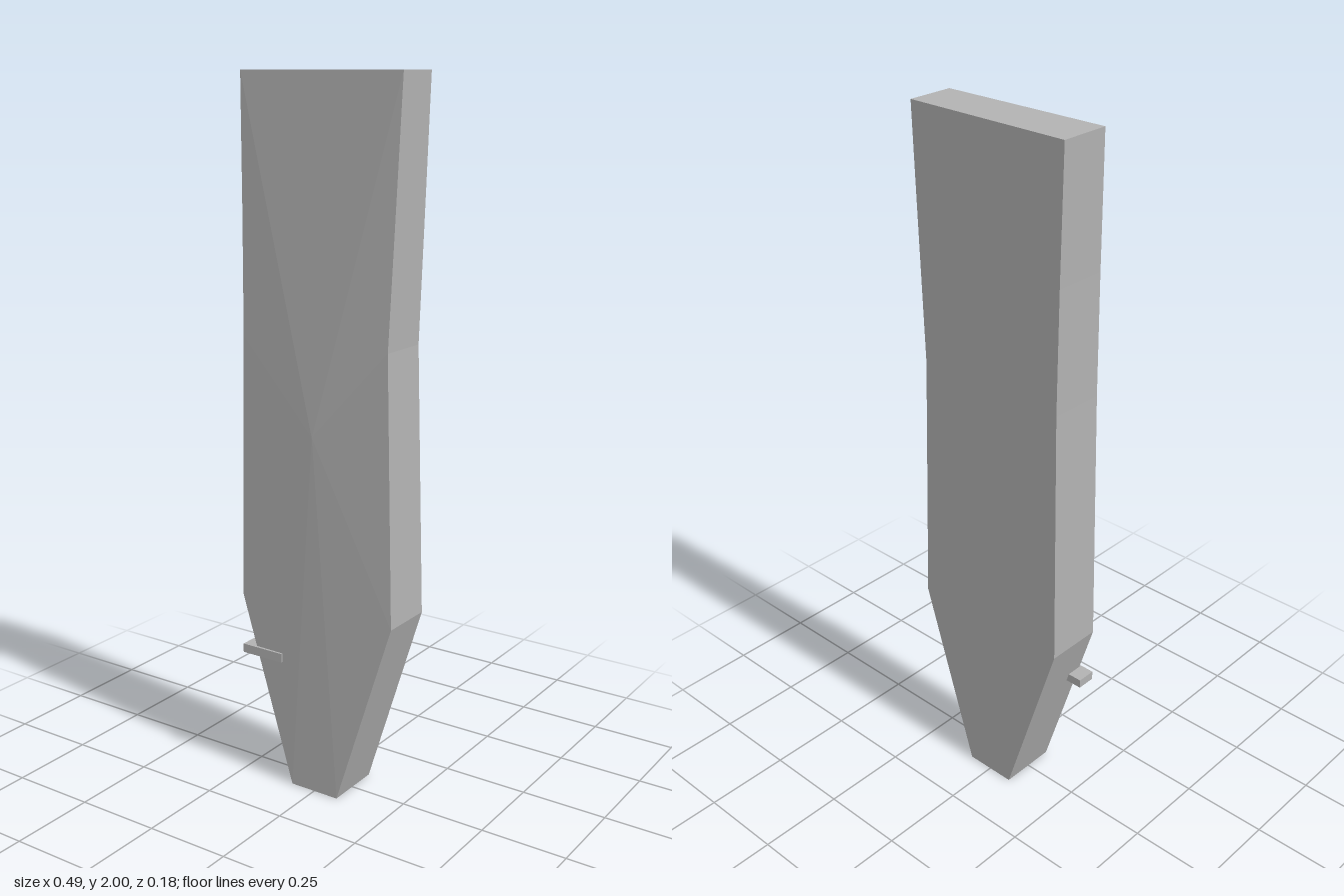
import * as THREE from 'three';

// Outline, anticlockwise from the front: x, y, depth of the front edge
const OUTLINE = [
  [-0.077, 0, 0.082], [0.077, 0, 0.082],
  [0.247, 0.55, 0.074], [0.222, 1.3, 0.065], [0.234, 1.63, 0.056], [0.247, 2, 0.046],
  [-0.247, 2, 0.055], [-0.241, 1.64, 0.063], [-0.238, 1.3, 0.07], [-0.247, 0.55, 0.079],
];
const BACK = -0.088;
const PEAK = [0, 1.05, 0.088];

// Closed slab: faceted front fanned from a peak, flat back, straight sides
function slabGeometry() {
  const pos = [];
  const tri = (...corners) => corners.forEach((c) => pos.push(...c));
  const backPeak = [PEAK[0], PEAK[1], BACK];
  OUTLINE.forEach((a, i) => {
    const b = OUTLINE[(i + 1) % OUTLINE.length];
    const a2 = [a[0], a[1], BACK];
    const b2 = [b[0], b[1], BACK];
    tri(PEAK, a, b);
    tri(backPeak, b2, a2);
    tri(a, a2, b2);
    tri(a, b2, b);
  });
  const geometry = new THREE.BufferGeometry();
  geometry.setAttribute('position', new THREE.Float32BufferAttribute(pos, 3));
  geometry.computeVertexNormals();
  return geometry;
}

export function createModel() {
  const group = new THREE.Group();
  group.name = 'taperedSlab';
  const grey = new THREE.MeshStandardMaterial({ color: 0xb2b2b2, flatShading: true });
  grey.name = 'plain grey';

  const slab = new THREE.Mesh(slabGeometry(), grey);
  slab.name = 'slab';

  // Small peg set into the lower edge
  const peg = new THREE.Mesh(new THREE.BoxGeometry(0.135, 0.026, 0.055), grey);
  peg.name = 'peg';
  peg.position.set(-0.1755, 0.387, 0.0605);

  group.add(slab, peg);
  return group;
}
